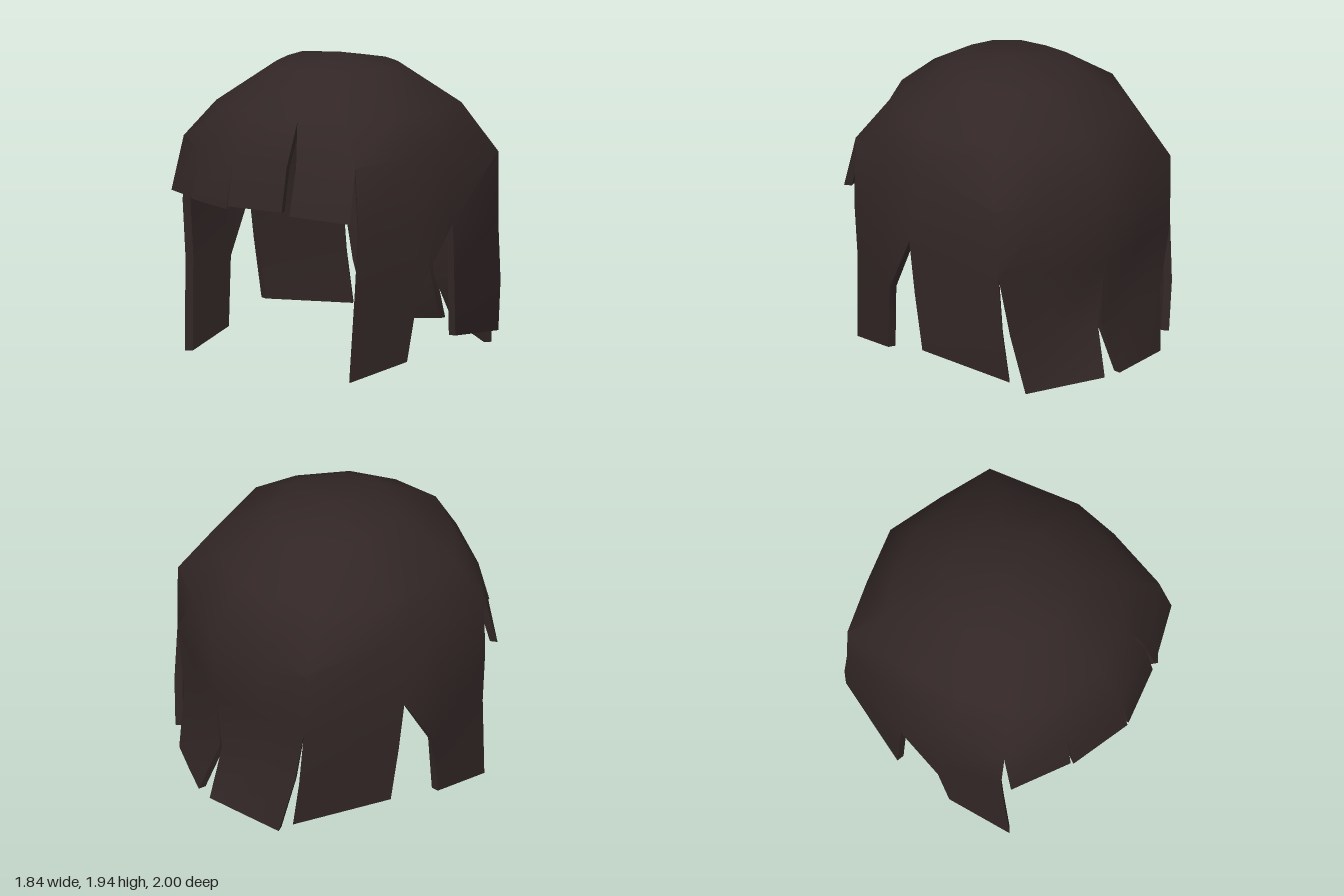
import * as THREE from 'three';
import { toCreasedNormals } from 'three/addons/utils/BufferGeometryUtils.js';

const THICKNESS = 0.05;
const CROWN = [0, 1.94, 0];

// Strand lines of one half, crown to dome rim, ordered front to back
const COLUMNS = {
  front:      [[0, 1.88, 0.41], [0, 1.66, 0.78], [0, 1.38, 0.94]],
  fringe:     [[0.16, 1.88, 0.38], [0.33, 1.63, 0.70], [0.40, 1.36, 0.83]],
  temple:     [[0.29, 1.88, 0.27], [0.58, 1.62, 0.52], [0.77, 1.38, 0.62], [0.79, 0.95, 0.61]],
  side:       [[0.36, 1.88, 0.10], [0.71, 1.64, 0.20], [0.84, 1.40, 0.20], [0.90, 0.95, 0.20]],
  ear:        [[0.39, 1.88, -0.06], [0.75, 1.64, -0.08], [0.85, 1.41, -0.10], [0.92, 0.95, -0.10]],
  rearCorner: [[0.29, 1.86, -0.27], [0.56, 1.62, -0.53], [0.71, 1.30, -0.71], [0.70, 0.85, -0.72]],
  rear:       [[0.15, 1.85, -0.37], [0.30, 1.62, -0.66], [0.37, 1.29, -0.83], [0.36, 0.82, -0.82]],
  back:       [[0, 1.85, -0.41], [0, 1.62, -0.74], [0, 1.28, -0.94], [0, 0.80, -0.91]],
};

const keyOf = (p) => p.map((v) => Math.round(v * 1000)).join();

// A point moved inward by the shell thickness
function inward(p) {
  const axis = new THREE.Vector3(0, Math.min(p[1], 1), 0);
  const v = new THREE.Vector3(...p);
  const dir = axis.sub(v).normalize();
  return v.addScaledVector(dir, THICKNESS).toArray();
}

// Polygon corners ordered so that the face looks away from the head
function faceOutward(poly) {
  const [a, b, c] = poly.map((p) => new THREE.Vector3(...p));
  const normal = b.clone().sub(a).cross(c.clone().sub(a));
  const middle = a.clone().add(b).add(c).divideScalar(3);
  middle.y -= Math.min(middle.y, 1);
  return normal.dot(middle) < 0 ? [...poly].reverse() : poly;
}

// Quads between neighbouring strand lines
function sheet(lines) {
  const polys = [];
  for (let i = 0; i < lines.length - 1; i++) {
    const l = lines[i], r = lines[i + 1];
    for (let j = 0; j < Math.min(l.length, r.length) - 1; j++) {
      polys.push([l[j], r[j], r[j + 1], l[j + 1]]);
    }
  }
  return polys;
}

function halfParts(s) {
  const C = COLUMNS;
  const split = s > 0; // the left fringe has one deeper parting
  const innerRim = split ? [0.375, 1.36, 0.84] : C.fringe[2];
  const outerRim = split ? [0.40, 1.36, 0.78] : C.fringe[2];
  const innerHem = split ? [0.38, 1.08, 0.89] : [0.422, 1.06, 0.90];
  const outerHem = split ? [0.43, 1.06, 0.87] : [0.432, 1.065, 0.885];

  const cols = Object.values(C);
  const dome = [];
  for (let i = 0; i < cols.length - 1; i++) dome.push([CROWN, cols[i][0], cols[i + 1][0]]);
  dome.push(...sheet([C.front.slice(0, 2), C.fringe.slice(0, 2), C.temple.slice(0, 2)]));
  dome.push(...sheet([C.temple, C.side, C.ear, C.rearCorner, C.rear, C.back].map((c) => c)));

  const parts = {
    dome,
    innerFringe: sheet([
      [C.front[1], C.front[2], [0.005, split ? 1.085 : 1.065, 1.0]],
      [C.fringe[1], innerRim, innerHem],
    ]),
    outerFringe: sheet([
      [C.fringe[1], outerRim, outerHem],
      [C.temple[1], C.temple[2], [0.80, 1.035, 0.70]],
    ]),
    sideLock: [
      ...sheet([
        [C.temple[3], [0.765, 0.60, 0.61], [0.74, 0, 0.64]],
        [C.side[3], [0.87, 0.53, 0.16], [0.83, 0.09, 0.22]],
      ]),
      [C.side[3], C.ear[3], [0.87, 0.53, 0.16]],
    ],
    rearSideLock: sheet([
      [C.ear[3], [0.90, 0.60, -0.13], [0.87, 0.21, -0.17]],
      [C.rearCorner[3], [0.69, 0.46, -0.75], [0.65, 0.13, -0.77]],
    ]),
    backLock: sheet([
      [C.rearCorner[3], [0.61, 0.42, -0.73], [0.55, 0.035, -0.81]],
      [C.rear[3], [0.32, 0.41, -0.80], [0.30, 0.06, -0.91]],
      [C.back[3], [0.012, 0.40, -0.87], [0.06, 0.08, -1.0]],
    ]),
  };
  const side = s > 0 ? 'left' : 'right';
  return Object.entries(parts).map(([name, polys]) => ({
    name: side + name[0].toUpperCase() + name.slice(1),
    polys: polys.map((poly) => faceOutward(poly.map(([x, y, z]) => [s * x, y, z]))),
  }));
}

export function createModel() {
  const group = new THREE.Group();
  group.name = 'hair';
  const hairBrown = new THREE.MeshStandardMaterial({ color: 0x322626 });
  hairBrown.name = 'dark brown hair';

  const parts = [...halfParts(1), ...halfParts(-1)];

  // Edges used by the outer skin; an unpaired edge is a free rim
  const edges = new Set();
  const eachEdge = (poly, fn) => poly.forEach((p, i) => fn(p, poly[(i + 1) % poly.length]));
  for (const { polys } of parts) {
    for (const poly of polys) eachEdge(poly, (a, b) => edges.add(keyOf(a) + '|' + keyOf(b)));
  }

  // Outer skin, inner skin and rim walls of every part
  const positions = [];
  const addPoly = (poly) => {
    for (let i = 1; i < poly.length - 1; i++) positions.push(...poly[0], ...poly[i], ...poly[i + 1]);
  };
  for (const part of parts) {
    part.start = positions.length;
    for (const poly of part.polys) {
      addPoly(poly);
      addPoly(poly.map(inward).reverse());
      eachEdge(poly, (a, b) => {
        if (!edges.has(keyOf(b) + '|' + keyOf(a))) addPoly([b, a, inward(a), inward(b)]);
      });
    }
    part.end = positions.length;
  }

  // Smooth across neighbouring parts, then cut into separate meshes
  let whole = new THREE.BufferGeometry();
  whole.setAttribute('position', new THREE.Float32BufferAttribute(positions, 3));
  whole = toCreasedNormals(whole, 0.9);
  for (const { name, start, end } of parts) {
    const geometry = new THREE.BufferGeometry();
    for (const key of ['position', 'normal']) {
      const data = whole.getAttribute(key).array.slice(start, end);
      geometry.setAttribute(key, new THREE.BufferAttribute(data, 3));
    }
    const mesh = new THREE.Mesh(geometry, hairBrown);
    mesh.name = name;
    group.add(mesh);
  }
  return group;
}
